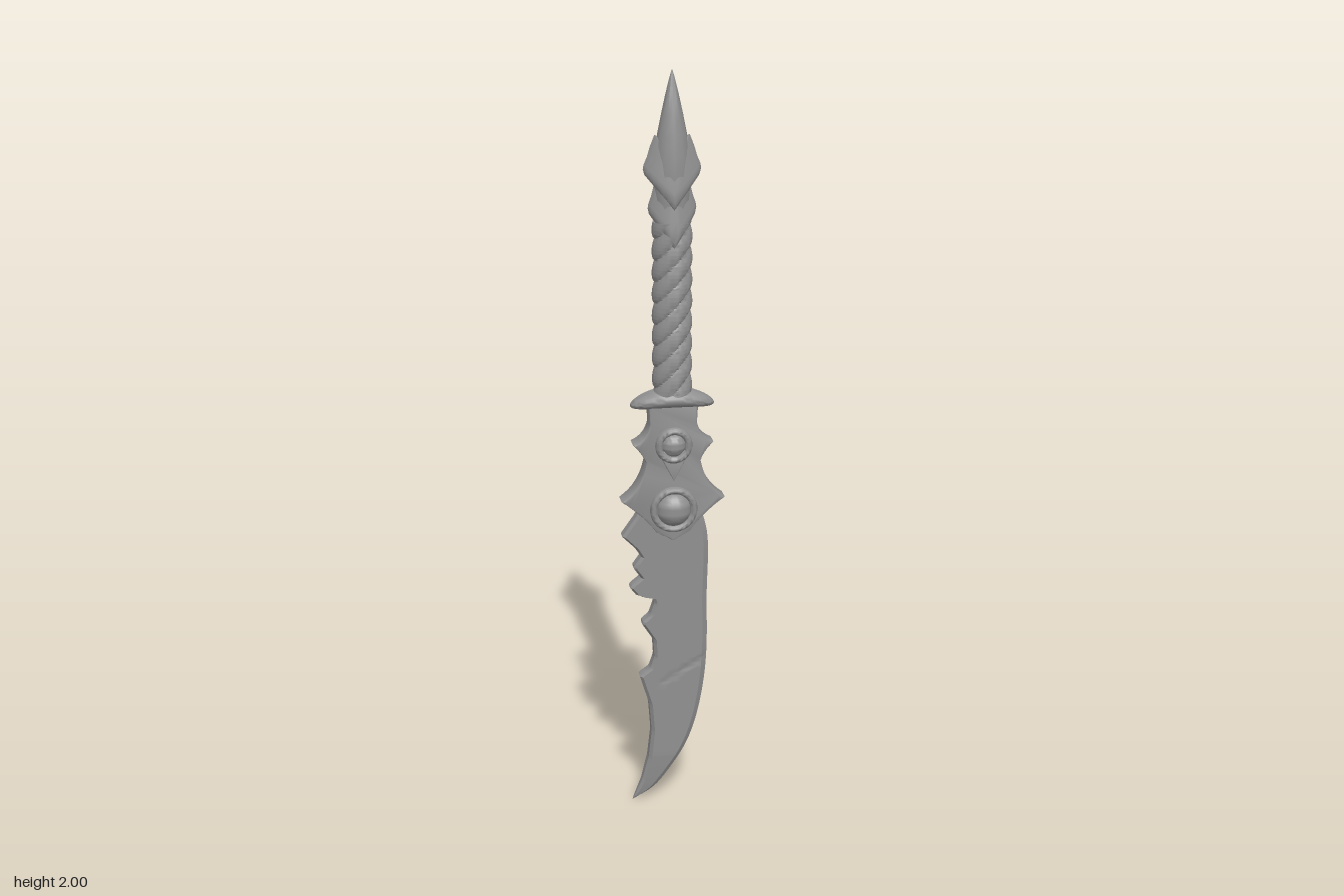
import * as THREE from 'three';
import { toCreasedNormals } from 'three/addons/utils/BufferGeometryUtils.js';

const material = new THREE.MeshStandardMaterial({ color: 0x909090 });

function add(parent, name, geometry, crease = 0.6) {
  const mesh = new THREE.Mesh(toCreasedNormals(geometry, crease), material);
  mesh.name = name;
  parent.add(mesh);
  return mesh;
}

// Skin a stack of equal rings of Vector3, closing both ends at their centres
function loft(rings) {
  const n = rings[0].length;
  const close = (r) => {
    const c = new THREE.Vector3();
    r.forEach((p) => c.addScaledVector(p, 1 / n));
    return r.map(() => c);
  };
  const all = [close(rings[0]), ...rings, close(rings[rings.length - 1])];
  const index = [];
  for (let i = 0; i < all.length - 1; i++) {
    for (let j = 0; j < n; j++) {
      const a = i * n + j, b = i * n + ((j + 1) % n);
      index.push(a, a + n, b, b, a + n, b + n);
    }
  }
  const g = new THREE.BufferGeometry().setFromPoints(all.flat());
  g.setIndex(index);
  return g;
}

const ring = (n, f) => Array.from({ length: n }, (_, i) => f((i / n) * Math.PI * 2));

// Linear reading of x at height y from [x, y] points
function readX(points, y) {
  for (let i = 1; i < points.length; i++) {
    const [x0, y0] = points[i - 1], [x1, y1] = points[i];
    if (y <= y1) return x0 + (x1 - x0) * (y - y0) / (y1 - y0);
  }
  return points[points.length - 1][0];
}

function bladeGeometry() {
  // Notched back edge
  const back = [[-0.11, 0], [-0.085, 0.06], [-0.067, 0.13], [-0.058, 0.21], [-0.064, 0.29], [-0.09, 0.375],
    [-0.062, 0.395], [-0.05, 0.43], [-0.053, 0.48], [-0.085, 0.53], [-0.062, 0.55], [-0.05, 0.585],
    [-0.055, 0.603], [-0.095, 0.608], [-0.116, 0.635], [-0.085, 0.66], [-0.106, 0.69], [-0.085, 0.72],
    [-0.1, 0.745], [-0.135, 0.78], [-0.1, 0.83], [-0.06, 0.9], [-0.05, 1.0]];
  // Curved cutting edge
  const curve = new THREE.CatmullRomCurve3([[-0.11, 0], [-0.05, 0.04], [0, 0.105], [0.038, 0.17], [0.063, 0.24],
    [0.083, 0.34], [0.092, 0.44], [0.092, 0.6], [0.092, 0.78], [0.06, 0.9], [0.05, 1.0]]
    .map(([x, y]) => new THREE.Vector3(x, y, 0)));
  const edge = curve.getPoints(80).map((p) => [p.x, p.y]);
  const rings = [], inner = 12;
  for (let i = 0; i <= 150; i++) {
    const y = i / 150;
    const l = readX(back, y), r = Math.max(l, readX(edge, y));
    const t = 0.023 * Math.min(1, Math.sqrt(y / 0.14));
    // Narrow bevels along both edges, flat between
    const r1 = r - Math.min(0.014, 0.25 * (r - l)), l1 = l + Math.min(0.008, 0.2 * (r - l));
    const side = (s) => {
      const flat = Array.from({ length: inner + 1 }, (_, j) => {
        const x = r1 + (l1 - r1) * (j / inner);
        // Diagonal scratch across the blade
        const scratch = x > -0.03 && Math.abs(y - 0.375 - 0.6 * x) < 0.008;
        return new THREE.Vector3(x, y, s * t * (scratch ? 0.9 : 1));
      });
      return [new THREE.Vector3(r, y, s * t * 0.5), ...flat, new THREE.Vector3(l, y, s * t * 0.6)];
    };
    rings.push([...side(1), ...side(-1).reverse()]);
  }
  return loft(rings);
}

function extrude(shape, half, bevel) {
  const g = new THREE.ExtrudeGeometry(shape, {
    depth: 2 * (half - bevel), bevelEnabled: true, bevelThickness: bevel,
    bevelSize: bevel, bevelOffset: -bevel, bevelSegments: 2, curveSegments: 10,
  });
  return g.translate(0, 0, -(half - bevel));
}

// Symmetrical spiked plate joining blade and grip
function plateGeometry() {
  const s = new THREE.Shape();
  s.moveTo(0, 0.765);
  s.lineTo(0.045, 0.79);
  s.quadraticCurveTo(0.08, 0.84, 0.137, 0.88);
  s.quadraticCurveTo(0.085, 0.915, 0.072, 0.985);
  s.quadraticCurveTo(0.08, 1.01, 0.106, 1.035);
  s.quadraticCurveTo(0.07, 1.05, 0.062, 1.09);
  s.lineTo(0.065, 1.14);
  const right = s.getPoints(8);
  const left = right.slice(1).reverse().map((p) => new THREE.Vector2(-p.x, p.y));
  return extrude(new THREE.Shape([...right, ...left]), 0.027, 0.005);
}

// Chevron sleeve: a thick lower rim rising to the side points, tapering upwards
function collarGeometry(y0, rx, rz, lift) {
  const rows = [[-0.03, 0.6], [-0.022, 0.82], [-0.01, 0.95], [0.004, 1], [0.016, 0.97],
    [0.035, 0.86], [0.06, 0.76], [0.09, 0.6]];
  return loft(rows.map(([dy, k]) => ring(40, (a) => {
    const c = Math.cos(a), s = Math.sin(a);
    const d = 1 / Math.pow(Math.abs(c) ** 1.5 + Math.abs(s) ** 1.5, 1 / 1.5);
    return new THREE.Vector3(rx * k * c * d, y0 + dy + lift * Math.abs(c * d), rz * Math.sqrt(k) * s * d);
  })));
}

export function createModel() {
  const model = new THREE.Group();
  model.name = 'dagger';

  add(model, 'blade', bladeGeometry(), 0.5);
  add(model, 'spikedPlate', plateGeometry(), 0.5);

  // Domed gems in round settings on both faces
  for (const s of [1, -1]) {
    const face = s > 0 ? 'front' : 'back';
    for (const [size, y, r, top] of [['Large', 0.855, 0.047, 0.061], ['Small', 1.032, 0.033, 0.051]]) {
      const gem = add(model, `${face}${size}Gem`, new THREE.SphereGeometry(r, 32, 20), 1);
      gem.scale.z = (top - 0.022) / r;
      gem.position.set(0, y, s * 0.022);
      const setting = add(model, `${face}${size}Setting`, new THREE.TorusGeometry(r + 0.006, 0.01, 10, 40), 1);
      setting.position.set(0, y, s * 0.03);
      setting.scale.z = 1.3;
    }
    // Pointed drop below the small gem
    const drop = new THREE.Shape();
    drop.moveTo(0, 0.935);
    drop.lineTo(0.042, 1.015);
    drop.quadraticCurveTo(0, 1.03, -0.042, 1.015);
    add(model, `${face}Drop`, extrude(drop, 0.008, 0.004)).position.z = s * 0.029;
  }

  // Crescent crossguard with drooping tips, lofted from one tip to the other
  const guard = [];
  for (let i = 0; i <= 32; i++) {
    const u = -Math.cos((i / 32) * Math.PI), w = Math.sqrt(Math.max(0, 1 - u * u));
    guard.push(ring(24, (a) => new THREE.Vector3(
      0.11 * u, 1.155 - 0.018 * u * u + 0.026 * w * Math.cos(a), -0.046 * w * Math.sin(a))));
  }
  add(model, 'crossguard', loft(guard), 0.9);

  // Grip wrapped in slanted overlapping bands
  const grip = [];
  for (let i = 0; i <= 160; i++) {
    const y = 1.15 + 0.47 * (i / 160);
    grip.push(ring(40, (a) => {
      const c = Math.cos(a), s = Math.sin(a);
      const q = (y - 0.048 * c) / 0.056;
      const f = q - Math.floor(q);
      const k = 0.83 + 0.19 * Math.sqrt(Math.sin(Math.PI * Math.pow(f, 0.7)));
      return new THREE.Vector3(0.051 * k * c, y, 0.043 * k * s);
    }));
  }
  add(model, 'grip', loft(grip), 0.9);

  // Chevron collars and the pommel spike
  add(model, 'lowerCollar', collarGeometry(1.58, 0.062, 0.046, 0.07));
  add(model, 'upperCollar', collarGeometry(1.68, 0.074, 0.045, 0.07));
  const spike = [[1.6, 0.044, 0.036], [1.66, 0.046, 0.038], [1.74, 0.048, 0.041], [1.79, 0.046, 0.038],
    [1.84, 0.038, 0.033], [1.89, 0.028, 0.026], [1.94, 0.017, 0.016], [1.98, 0.007, 0.007], [2, 0.001, 0.001]];
  add(model, 'pommelSpike', loft(spike.map(([y, rx, rz]) =>
    ring(12, (a) => new THREE.Vector3(rx * Math.cos(a), y, rz * Math.sin(a))))), 0.7);

  return model;
}
